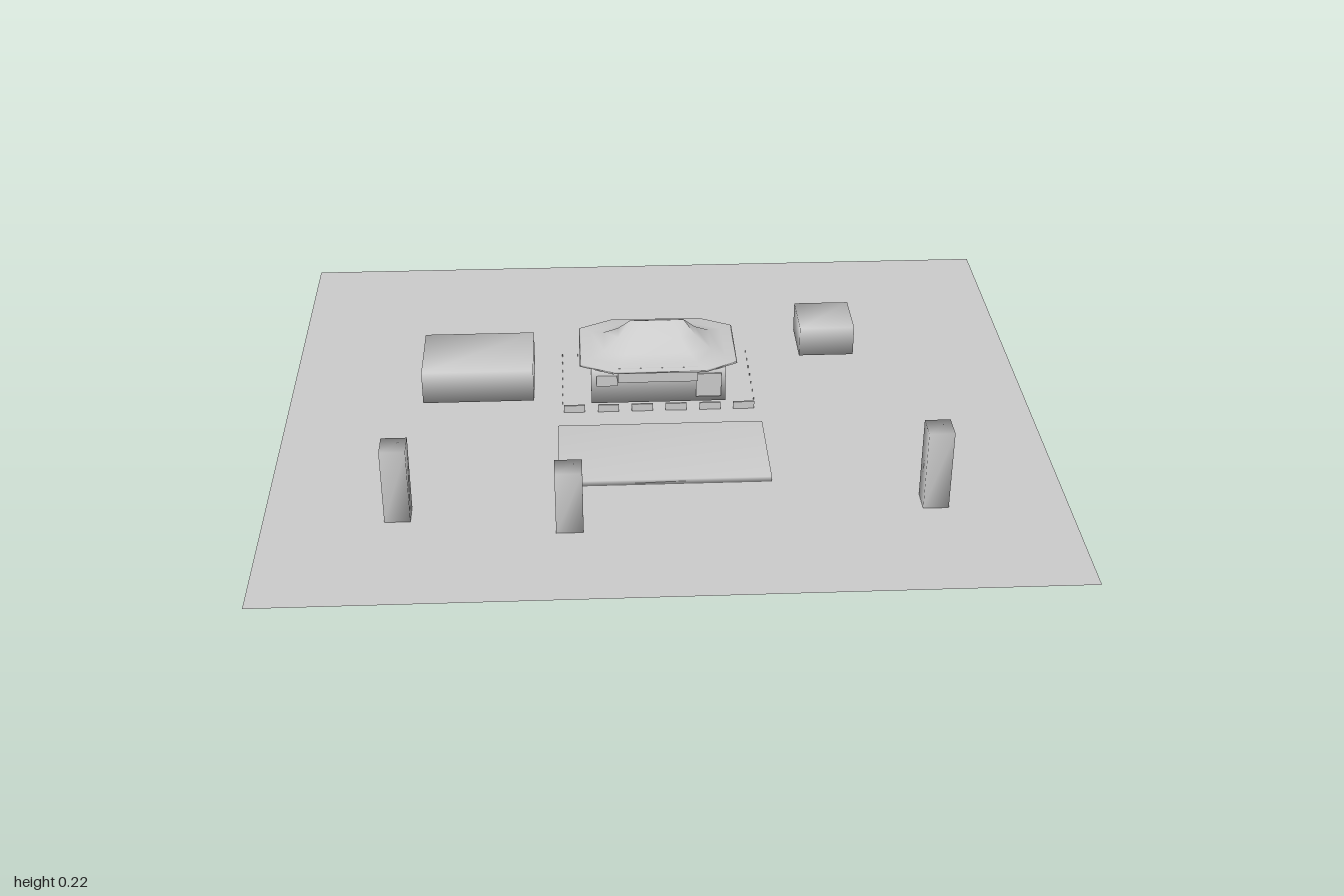
import * as THREE from 'three';
import { mergeVertices } from 'three/addons/utils/BufferGeometryUtils.js';

const stone = new THREE.MeshStandardMaterial({ color: 0xcccccc, side: THREE.DoubleSide });
stone.name = 'pale grey stone';

// Share the corners so that normals run smoothly over the edges
function soften(geometry) {
  geometry.deleteAttribute('normal');
  geometry.deleteAttribute('uv');
  const merged = mergeVertices(geometry, 1e-5);
  merged.computeVertexNormals();
  return merged;
}

function add(parent, name, geometry) {
  const mesh = new THREE.Mesh(geometry, stone);
  mesh.name = name;
  parent.add(mesh);
  return mesh;
}

// Block given by its limits on each axis
function block(parent, name, [x0, x1], [y0, y1], [z0, z1], smooth = true) {
  const box = new THREE.BoxGeometry(x1 - x0, y1 - y0, z1 - z0);
  box.translate((x0 + x1) / 2, (y0 + y1) / 2, (z0 + z1) / 2);
  return add(parent, name, smooth ? soften(box) : box);
}

// Sweeping hipped roof: eight-sided rings from the soffit up to the ridge
function roofGeometry() {
  const rings = [ // half width, half depth, height
    [0.175, 0.112, 0.122], [0.212, 0.15, 0.125], [0.208, 0.146, 0.129],
    [0.18, 0.11, 0.131], [0.145, 0.075, 0.141], [0.105, 0.037, 0.168], [0.072, 0.001, 0.205],
  ];
  const corners = [[0.59, 1], [1, 0.7], [1, -0.7], [0.59, -1], [-0.59, -1], [-1, -0.7], [-1, 0.7], [-0.59, 1]];
  const positions = [], index = [], n = corners.length;
  for (const [w, d, y] of rings) for (const [cx, cz] of corners) positions.push(cx * w, y, cz * d);
  for (let r = 0; r < rings.length - 1; r++) {
    for (let i = 0; i < n; i++) {
      const a = r * n + i, b = r * n + (i + 1) % n;
      index.push(a, b, b + n, a, b + n, a + n);
    }
  }
  const geometry = new THREE.BufferGeometry();
  geometry.setAttribute('position', new THREE.Float32BufferAttribute(positions, 3));
  geometry.setIndex(index);
  geometry.computeVertexNormals();
  return geometry;
}

export function createModel() {
  const model = new THREE.Group();
  model.name = 'templeGrounds';

  // Flat ground
  const ground = add(model, 'ground', new THREE.PlaneGeometry(2, 1.694).rotateX(-Math.PI / 2));
  ground.position.y = 0.002;

  // Low terrace in front of the hall
  block(model, 'terrace', [-0.273, 0.27], [0.002, 0.017], [0.105, 0.375]);

  // Towers
  block(model, 'leftTower', [0.634, 0.698], [0.003, 0.22], [0.448, 0.514]);
  block(model, 'rightTower', [-0.7, -0.636], [0.003, 0.206], [0.448, 0.514]);
  block(model, 'frontTower', [-0.278, -0.211], [0, 0.173], [0.514, 0.578]);

  // Side buildings
  block(model, 'largeSideBuilding', [-0.636, -0.337], [0.022, 0.115], [-0.232, -0.02]);
  block(model, 'smallSideBuilding', [0.406, 0.558], [0.022, 0.108], [-0.382, -0.232]);

  // Main hall
  const hall = new THREE.Group();
  hall.name = 'hall';
  model.add(hall);
  block(hall, 'hallBody', [-0.182, 0.18], [0.02, 0.123], [-0.235, -0.002]);
  add(hall, 'roof', roofGeometry()).position.z = -0.124;
  block(hall, 'entranceBoard', [-0.11, 0.105], [0.086, 0.13], [-0.002, 0.006], false);
  block(hall, 'leftFacadePanel', [0.1, 0.168], [0.036, 0.106], [-0.002, 0.002], false);
  block(hall, 'rightFacadePanel', [-0.168, -0.112], [0.074, 0.106], [-0.002, 0.002], false);

  // Fence: panels in front, thin posts along the sides and back
  const fence = new THREE.Group();
  fence.name = 'fence';
  model.add(fence);
  for (let i = 0; i < 6; i++) {
    const x = -0.257 + i * 0.0914;
    block(fence, 'fencePanel', [x, x + 0.057], [0.004, 0.025], [0.013, 0.018], false);
  }
  const post = (x, z) => block(fence, 'fencePost', [x - 0.001, x + 0.001], [0.002, 0.01], [z - 0.001, z + 0.001], false);
  for (let i = 0; i <= 12; i++) post(-0.26 + i * 0.0433, -0.29);
  for (const x of [-0.26, 0.26]) for (let i = 1; i < 7; i++) post(x, -0.29 + i * 0.0433);

  return model;
}
